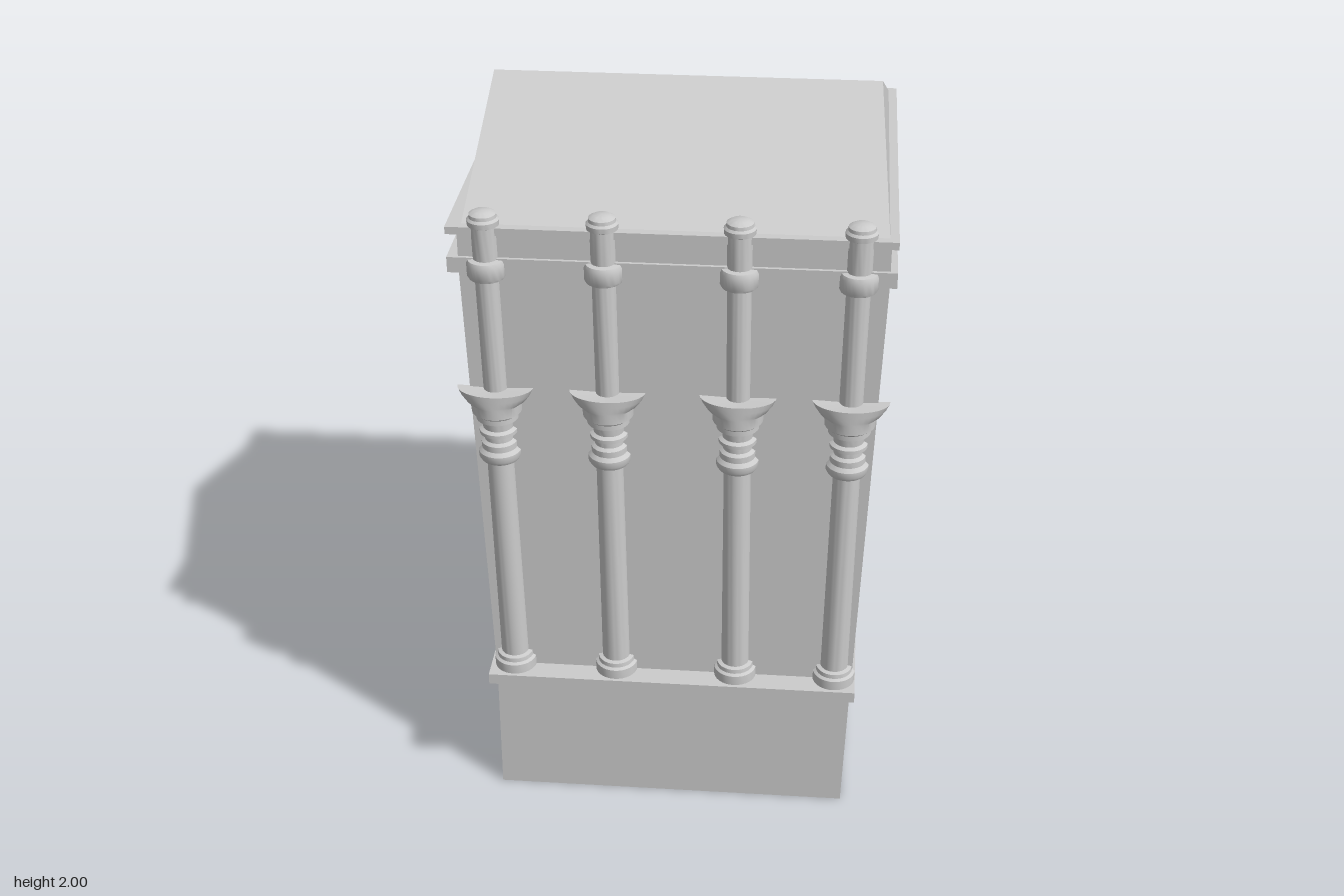
import * as THREE from 'three';
import { toCreasedNormals } from 'three/addons/utils/BufferGeometryUtils.js';

const material = new THREE.MeshStandardMaterial({ color: 0xcccccc, side: THREE.DoubleSide });

function add(parent, name, geometry) {
  const mesh = new THREE.Mesh(geometry, material);
  mesh.name = name;
  parent.add(mesh);
  return mesh;
}

// Flat polygon through corners listed counter-clockwise from outside
function panel(...corners) {
  const points = [];
  for (let i = 1; i < corners.length - 1; i++) {
    points.push(...corners[0], ...corners[i], ...corners[i + 1]);
  }
  const geometry = new THREE.BufferGeometry();
  geometry.setAttribute('position', new THREE.Float32BufferAttribute(points, 3));
  geometry.computeVertexNormals();
  return geometry;
}

// Box given by its limits
function slab(x0, x1, y0, y1, z0, z1) {
  return new THREE.BoxGeometry(x1 - x0, y1 - y0, z1 - z0)
    .translate((x0 + x1) / 2, (y0 + y1) / 2, (z0 + z1) / 2);
}

const FRONT = 0.49, BACK = -0.535;

// Front and two side walls, open at the back, flaring between two heights
function walls(parent, name, y0, y1, left0, right0, left1, right1) {
  const group = new THREE.Group();
  group.name = name;
  add(group, 'frontWall', panel(
    [left0, y0, FRONT], [right0, y0, FRONT], [right1, y1, FRONT], [left1, y1, FRONT]));
  add(group, 'leftWall', panel(
    [right0, y0, FRONT], [right0, y0, BACK], [right1, y1, BACK], [right1, y1, FRONT]));
  add(group, 'rightWall', panel(
    [left0, y0, BACK], [left0, y0, FRONT], [left1, y1, FRONT], [left1, y1, BACK]));
  parent.add(group);
}

// Column outlines: [radius, height]
const shaftProfile = [
  [0, 0.435], [0.058, 0.435], [0.058, 0.463], [0.05, 0.468], [0.049, 0.48], [0.038, 0.483],
  [0.036, 1.11], [0.05, 1.112], [0.056, 1.122], [0.056, 1.138], [0.047, 1.148],
  [0.047, 1.165], [0.038, 1.172], [0.038, 1.188], [0.05, 1.192], [0.05, 1.202],
  [0.04, 1.208], [0.042, 1.23], [0.056, 1.236], [0.056, 1.25], [0.066, 1.258],
  [0.068, 1.285], [0.08, 1.292], [0.092, 1.308], [0.1, 1.325], [0.031, 1.322],
  [0.031, 1.64], [0.046, 1.642], [0.05, 1.65], [0.05, 1.683], [0.046, 1.692], [0.032, 1.694]
];
const finialProfile = [
  [0.032, 1.69], [0.032, 1.782], [0.04, 1.786], [0.041, 1.8], [0.035, 1.806],
  [0.034, 1.815], [0.022, 1.822], [0, 1.824]
];

// Turned shape that leans sideways and is flattened where it is widest
function turned(profile, start, sweep, xBase, xTop) {
  const points = profile.map(([r, y]) => new THREE.Vector2(r, y));
  const geometry = new THREE.LatheGeometry(points, sweep > 4 ? 28 : 16, start, sweep);
  const p = geometry.attributes.position;
  for (let i = 0; i < p.count; i++) {
    const x = p.getX(i), y = p.getY(i), z = p.getZ(i);
    const r = Math.hypot(x, z);
    const lean = THREE.MathUtils.lerp(xBase, xTop, (y - 0.435) / 1.385);
    p.setXYZ(i, x + lean, y, 0.486 + z * Math.min(1, 0.066 / Math.max(r, 0.001)));
  }
  return toCreasedNormals(geometry, 0.6);
}

export function createModel() {
  const model = new THREE.Group();
  model.name = 'columnedShrine';

  // Plinth and main body
  walls(model, 'plinth', 0, 0.403, -0.5, 0.485, -0.497, 0.498);
  walls(model, 'body', 0.435, 1.655, -0.498, 0.5, -0.535, 0.545);

  // Floor ledge, cornice, frieze and eave
  add(model, 'floorLedge', slab(-0.51, 0.51, 0.403, 0.435, -0.55, 0.553));
  add(model, 'cornice', slab(-0.563, 0.563, 1.655, 1.697, -0.555, 0.499));
  add(model, 'frieze', slab(-0.535, 0.545, 1.697, 1.76, BACK, FRONT));
  add(model, 'eave', slab(-0.563, 0.563, 1.76, 1.78, -0.555, 0.499));

  // Gabled roof
  const frontR = [-0.525, 1.78, 0.475], frontL = [0.54, 1.78, 0.475];
  const backR = [-0.525, 1.78, BACK], backL = [0.54, 1.78, BACK];
  const ridgeR = [-0.515, 2, -0.022], ridgeL = [0.512, 2, -0.022];
  const roof = new THREE.Group();
  roof.name = 'roof';
  add(roof, 'frontSlope', panel(frontR, frontL, ridgeL, ridgeR));
  add(roof, 'backSlope', panel(backL, backR, ridgeR, ridgeL));
  add(roof, 'leftGable', panel(frontL, backL, ridgeL));
  add(roof, 'rightGable', panel(backR, frontR, ridgeR));
  model.add(roof);

  // Half columns against the front, each with a fully round finial
  const columns = [[-0.442, -0.468], [-0.157, -0.17], [0.175, 0.172], [0.45, 0.471]];
  for (const [xBase, xTop] of columns) {
    const column = new THREE.Group();
    column.name = 'column';
    add(column, 'shaft', turned(shaftProfile, -Math.PI / 2, Math.PI, xBase, xTop));
    add(column, 'finial', turned(finialProfile, 0, Math.PI * 2, xBase, xTop));
    model.add(column);
  }
  return model;
}
